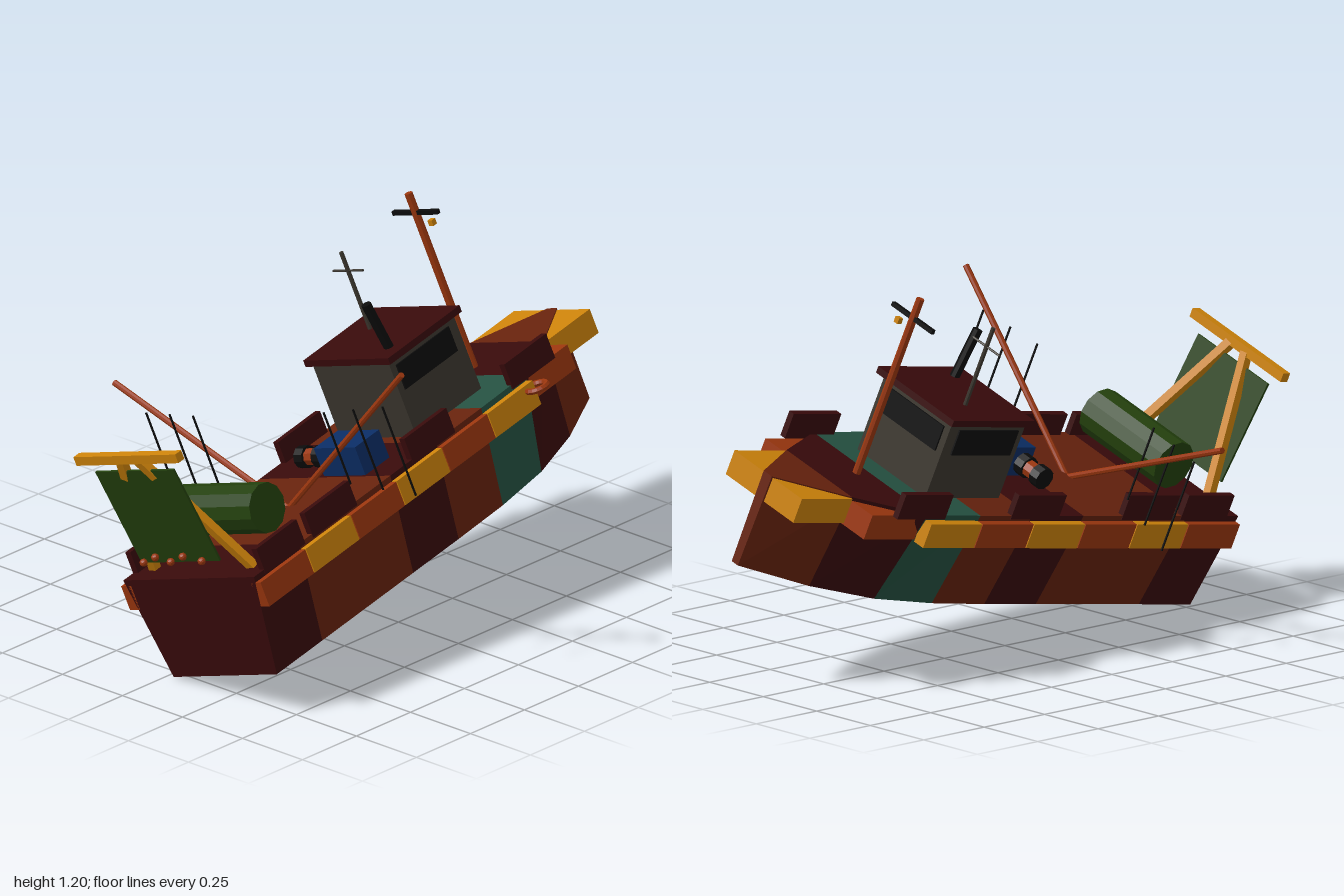
import * as THREE from 'three';

const mat = (name, color) => {
  const m = new THREE.MeshStandardMaterial({ color });
  m.name = name;
  return m;
};

export function createModel() {
  const darkRed = mat('dark red', 0x380a0b);
  const brown = mat('rust brown', 0x66220d);
  const rust = mat('orange rust', 0x9a360e);
  const gold = mat('gold', 0xcc820a);
  const teal = mat('teal', 0x255141);
  const green = mat('net green', 0x23400d);
  const blue = mat('blue', 0x0b2d64);
  const black = mat('black', 0x0c0c0c);
  const grey = mat('cabin grey', 0x3b362e);

  const model = new THREE.Group();
  // The wreck rests rolled to one side with its bow raised.
  // Inside: x across, y up from the keel, z = 0 at the transom, bow at -z.
  const boat = new THREE.Group();
  boat.name = 'boat';
  boat.rotation.set(0.18, 0, 0.3, 'ZYX');
  boat.position.set(0.235, 0.068, 0.785);
  model.add(boat);

  const add = (name, geo, material, x = 0, y = 0, z = 0) => {
    const flat = geo.index ? geo.toNonIndexed() : geo;
    flat.computeVertexNormals();
    const mesh = new THREE.Mesh(flat, material);
    mesh.name = name;
    mesh.position.set(x, y, z);
    boat.add(mesh);
    return mesh;
  };
  // Box given by its limits on each axis
  const block = (name, material, x0, x1, y0, y1, z0, z1) =>
    add(name, new THREE.BoxGeometry(x1 - x0, y1 - y0, z1 - z0), material,
      (x0 + x1) / 2, (y0 + y1) / 2, (z0 + z1) / 2);
  // Straight bar between two points, round or square
  const bar = (name, material, from, to, r, square = false) => {
    const a = new THREE.Vector3(...from), b = new THREE.Vector3(...to);
    const len = a.distanceTo(b);
    const geo = square ? new THREE.BoxGeometry(2 * r, len, 2 * r) : new THREE.CylinderGeometry(r, r, len, 8);
    const mesh = add(name, geo, material);
    mesh.position.copy(a).add(b).multiplyScalar(0.5);
    mesh.quaternion.setFromUnitVectors(new THREE.Vector3(0, 1, 0), b.sub(a).normalize());
    return mesh;
  };

  // Hull: eight plated segments, each a box squeezed to its two sections
  const SEG = 0.2275, TOP = 0.338;
  const topHalf = [0.285, 0.285, 0.285, 0.285, 0.285, 0.285, 0.28, 0.16, 0.02];
  const lowHalf = [0.225, 0.225, 0.225, 0.225, 0.225, 0.22, 0.19, 0.12, 0.015];
  const keel = [0, 0, 0, 0, 0, 0, 0, 0.008, 0.025];
  const hullColours = [darkRed, brown, brown, darkRed, brown, teal, darkRed, brown];
  hullColours.forEach((m, i) => {
    const geo = new THREE.BoxGeometry(1, 1, 1);
    const p = geo.attributes.position;
    for (let k = 0; k < p.count; k++) {
      const st = p.getZ(k) > 0 ? i : i + 1;
      const up = p.getY(k) > 0;
      p.setXYZ(k, Math.sign(p.getX(k)) * (up ? topHalf : lowHalf)[st], up ? TOP : keel[st], -st * SEG);
    }
    add('hullSegment' + (i + 1), geo, m);
  });

  // Rubbing strakes in alternating colours, stepping in and up toward the bow
  const outer = [0.304, 0.304, 0.304, 0.304, 0.304, 0.304, 0.262, 0.165];
  const inner = [0.26, 0.26, 0.26, 0.26, 0.26, 0.26, 0.14, 0.015];
  const lift = [0, 0, 0, 0, 0, 0, 0.008, 0.016];
  for (const s of [-1, 1]) {
    for (let i = 0; i < 8; i++) {
      const xs = [s * inner[i], s * outer[i]].sort((a, b) => a - b);
      block('strake', i % 2 ? gold : rust, xs[0], xs[1], 0.235 + lift[i], 0.318 + lift[i],
        -(i + 1) * SEG + 0.004, -i * SEG);
    }
    // Broken bulwark plates
    for (const [s0, s1] of [[0.05, 0.25], [0.29, 0.51], [0.79, 1.0], [1.29, 1.5]]) {
      block('bulwarkPlate', darkRed, s * 0.275 - 0.011, s * 0.275 + 0.011, 0.325, 0.41, -s1, -s0);
    }
  }

  // Wheelhouse
  block('cabin', grey, -0.165, 0.165, 0.33, 0.6, -1.275, -0.95);
  block('cabinRoof', darkRed, -0.185, 0.185, 0.595, 0.617, -1.295, -0.937);
  for (const s of [-1, 1]) {
    block('sideWindow', black, s * 0.167 - 0.004, s * 0.167 + 0.004, 0.49, 0.575, -1.235, -0.975);
  }
  block('frontWindow', black, -0.14, 0.14, 0.49, 0.575, -1.281, -1.273);

  // Funnel, aerial and mast
  bar('funnel', black, [0.12, 0.59, -1.02], [0.12, 0.78, -0.99], 0.016);
  bar('aerial', grey, [-0.076, 0.6, -1.147], [-0.076, 0.885, -1.147], 0.007);
  bar('aerialCrossbar', grey, [-0.141, 0.82, -1.147], [-0.011, 0.82, -1.147], 0.004);
  bar('mast', rust, [0.004, 0.33, -1.425], [0.004, 0.945, -1.425], 0.013);
  bar('mastCrossbar', black, [-0.093, 0.878, -1.425], [0.103, 0.878, -1.425], 0.007, true);
  block('mastLamp', gold, 0.05, 0.068, 0.833, 0.852, -1.434, -1.416);

  // Outrigger booms stepped on the centreline, with hanging lines
  for (const s of [-1, 1]) {
    bar('boom', rust, [s * 0.005, 0.33, -0.495], [s * 0.627, 0.742, -0.567], 0.01);
    for (const [x, low, back] of [[0.285, 0.395, 0.515], [0.4, 0.365, 0.53], [0.515, 0.335, 0.545]]) {
      bar('hangingLine', black, [s * x, low, -back], [s * x, 0.645, -back], 0.0025, true);
    }
  }

  // Stern gantry: A-frame legs and crossbar
  bar('gantryCrossbar', gold, [-0.222, 0.788, 0.055], [0.222, 0.788, 0.055], 0.015, true);
  for (const s of [-1, 1]) {
    bar('gantryLeg', gold, [s * 0.215, 0.335, -0.078], [s * 0.035, 0.785, 0.055], 0.014, true);
  }
  // Hanging net and its floats
  const net = add('net', new THREE.BoxGeometry(0.34, 0.345, 0.008), green, -0.003, 0.57, 0.023);
  net.rotation.x = 0.14;
  [-0.118, -0.06, 0, 0.06, 0.135].forEach((x, i) =>
    add('netFloat', new THREE.IcosahedronGeometry(0.013, 1), rust, x, i % 2 ? 0.437 : 0.42, 0.045));

  // Net drum across the aft deck
  const drum = add('netDrum', new THREE.CylinderGeometry(0.08, 0.08, 0.365, 12), green, 0.008, 0.458, -0.24);
  drum.rotation.z = Math.PI / 2;

  // Winch and crate on the working deck
  for (const x of [-0.11, -0.035]) {
    const end = add('winchDrum', new THREE.CylinderGeometry(0.036, 0.036, 0.035, 10), black, x, 0.385, -0.735);
    end.rotation.z = Math.PI / 2;
  }
  bar('winchAxle', rust, [-0.1, 0.385, -0.735], [-0.04, 0.385, -0.735], 0.028);
  block('crate', blue, -0.01, 0.17, 0.33, 0.435, -0.81, -0.69);

  // Loose ring caught on the side
  const ring = add('ring', new THREE.TorusGeometry(0.034, 0.01, 6, 16), rust, 0.318, 0.298, -1.355);
  ring.rotation.x = Math.PI / 2;

  return model;
}
